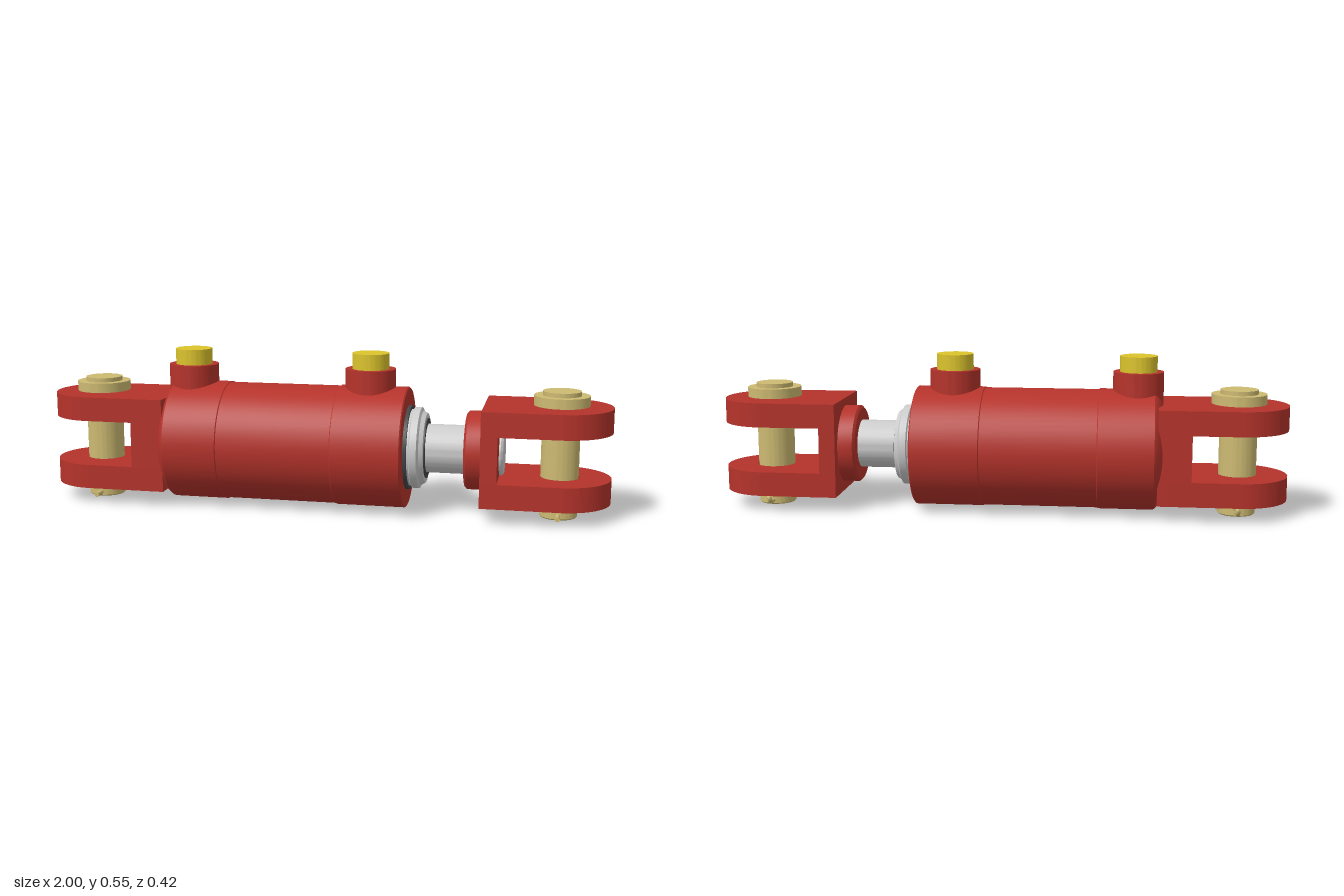
import * as THREE from 'three';
import { toCreasedNormals } from 'three/addons/utils/BufferGeometryUtils.js';

const material = (color) => new THREE.MeshStandardMaterial({ color });
const RED = material(0xb5332b), YELLOW = material(0xdcc42c), BRASS = material(0xcdba72);
const STEEL = material(0xcccccc), DARK = material(0x444648);

const AXIS = 0.222;   // height of the cylinder axis
const PIN_X = 0.828;  // distance of the pins from the centre
const LUG_R = 0.172;  // half width and end radius of the clevises

function mesh(name, geometry, mat) {
  const m = new THREE.Mesh(geometry, mat);
  m.name = name;
  return m;
}

// Revolved solid from [radius, position] pairs, closed at both ends, along y
function turned(profile) {
  const first = profile[0][1], last = profile[profile.length - 1][1];
  const points = [[0, first], ...profile, [0, last]].map(([r, y]) => new THREE.Vector2(r, y));
  return toCreasedNormals(new THREE.LatheGeometry(points, 64), 0.4);
}

// The same solid laid along the cylinder axis
function axial(name, profile, mat) {
  return mesh(name, turned(profile).rotateZ(-Math.PI / 2).translate(0, AXIS, 0), mat);
}

// Forked end: two round-ended lugs joined by a wall, pointing to +x (side 1) or -x (side -1)
function clevis(name, side, inner, slot) {
  const g = new THREE.Group();
  g.name = name;
  const s = new THREE.Shape();
  s.moveTo(inner, -LUG_R);
  s.lineTo(PIN_X, -LUG_R);
  s.absarc(PIN_X, 0, LUG_R, -Math.PI / 2, Math.PI / 2, false);
  s.lineTo(inner, LUG_R);
  s.closePath();
  const hole = new THREE.Path();
  hole.absarc(PIN_X, 0, 0.066, 0, Math.PI * 2, true);
  s.holes.push(hole);
  for (const [label, y] of [['lowerLug', 0.057], ['upperLug', 0.302]]) {
    const geo = new THREE.ExtrudeGeometry(s, { depth: 0.085, bevelEnabled: false, curveSegments: 32 });
    geo.rotateX(-Math.PI / 2);
    if (side < 0) geo.rotateY(Math.PI);
    g.add(mesh(label, toCreasedNormals(geo.translate(0, y, 0), 0.5), RED));
  }
  const wall = new THREE.BoxGeometry(slot - inner, 0.16, LUG_R * 2);
  wall.translate(side * (slot + inner) / 2, AXIS, 0);
  g.add(mesh('forkWall', wall, RED));
  return g;
}

// Clevis pin with washer-like head and a spring clip through its lower end
function pin(name, x) {
  const g = new THREE.Group();
  g.name = name;
  g.position.x = x;
  g.add(mesh('pinShaft', turned([[0.061, 0.002], [0.065, 0.006], [0.065, 0.44]]), BRASS));
  g.add(mesh('pinHead', turned([[0.095, 0.391], [0.095, 0.425]]), BRASS));
  const path = [[0, 0.017, 0.11], [0, 0.017, 0], [0, 0.017, -0.075], [0, 0.022, -0.1],
    [0, 0.034, -0.108]].map((p) => new THREE.Vector3(...p));
  // Ring of the clip, rising slightly as it winds around the pin
  for (let i = 0; i <= 14; i++) {
    const a = 0.15 + i * 0.38;
    path.push(new THREE.Vector3(0.092 * Math.sin(a), 0.048 - 0.003 * Math.cos(a), 0.004 - 0.1 * Math.cos(a)));
  }
  const curve = new THREE.CatmullRomCurve3(path, false, 'centripetal');
  g.add(mesh('clipWire', new THREE.TubeGeometry(curve, 110, 0.008, 10), BRASS));
  const tip = new THREE.CylinderGeometry(0.0085, 0.0085, 0.17, 12).rotateX(Math.PI / 2);
  g.add(mesh('clipLeg', tip.translate(0, 0.017, 0.025), BRASS));
  return g;
}

// Hose port boss closed by a plug
function port(name, x) {
  const g = new THREE.Group();
  g.name = name;
  g.position.x = x;
  g.add(mesh('portBoss', turned([[0.088, 0.36], [0.088, 0.497]]), RED));
  g.add(mesh('portPlug', turned([[0.065, 0.49], [0.065, 0.552]]), YELLOW));
  return g;
}

export function createModel() {
  const model = new THREE.Group();
  model.name = 'hydraulicCylinder';

  // Barrel with slightly thicker end sections
  model.add(axial('barrel', [
    [0.155, -0.57], [0.172, -0.566], [0.205, -0.547], [0.212, -0.538], [0.212, -0.347], [0.209, -0.344],
    [0.209, 0.057], [0.212, 0.06], [0.212, 0.296], [0.208, 0.3],
  ], RED));

  // Gland, seal and piston rod
  model.add(axial('glandSeal', [[0.148, 0.29], [0.148, 0.312]], DARK));
  model.add(axial('gland', [
    [0.135, 0.305], [0.135, 0.318], [0.142, 0.322], [0.142, 0.346], [0.13, 0.352], [0.122, 0.366],
  ], STEEL));
  model.add(axial('rodWiper', [[0.105, 0.36], [0.105, 0.37]], DARK));
  model.add(axial('pistonRod', [[0.085, 0.29], [0.085, 0.628], [0.078, 0.636]], STEEL));
  model.add(axial('rodCollar', [
    [0.128, 0.505], [0.137, 0.513], [0.137, 0.57],
  ], RED));

  model.add(clevis('rodClevis', 1, 0.565, 0.622));
  model.add(clevis('baseClevis', -1, 0.55, 0.665));
  model.add(pin('rodPin', PIN_X - 0.003), pin('basePin', -PIN_X));
  model.add(port('basePort', -0.48), port('rodPort', 0.165));
  return model;
}
